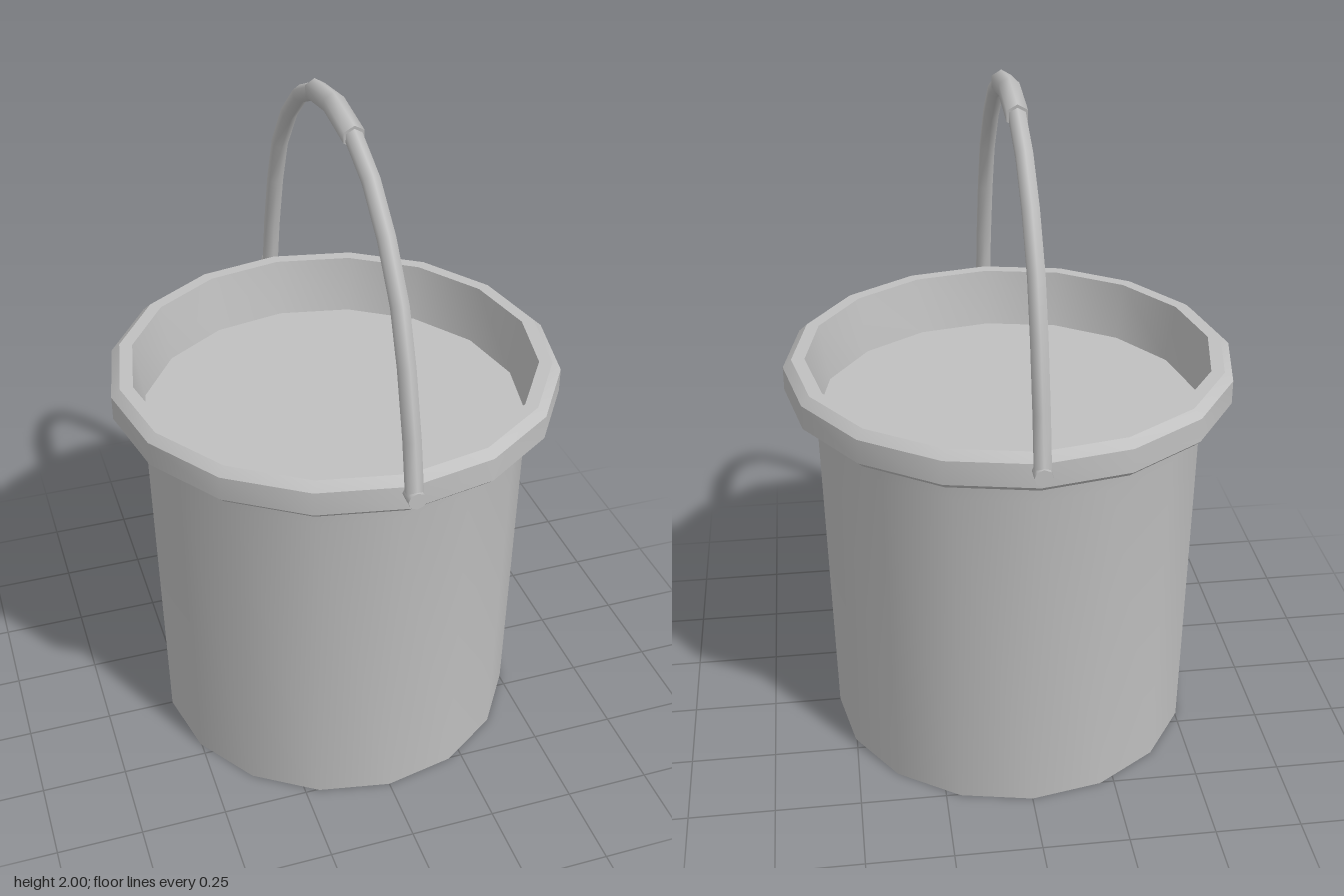
import * as THREE from 'three';
import { toCreasedNormals } from 'three/addons/utils/BufferGeometryUtils.js';

const SIDES = 16;

// Lathe from [radius, height] pairs, keeping sharp edges sharp
function turned(profile) {
  const points = profile.map(([r, y]) => new THREE.Vector2(r, y));
  return toCreasedNormals(new THREE.LatheGeometry(points, SIDES), 0.6);
}

// Hexagonal rod swept along [z, y] points, with a corner facing outwards
function rod(path, radius) {
  const n = 6, pos = [], index = [];
  path.forEach(([z, y], i) => {
    const [za, ya] = path[Math.max(i - 1, 0)];
    const [zb, yb] = path[Math.min(i + 1, path.length - 1)];
    const len = Math.hypot(zb - za, yb - ya);
    const nz = -(yb - ya) / len, ny = (zb - za) / len;
    for (let k = 0; k < n; k++) {
      const a = (k / n) * Math.PI * 2;
      const c = Math.cos(a) * radius, s = Math.sin(a) * radius;
      pos.push(s, y + ny * c, z + nz * c);
    }
  });
  for (let i = 0; i < path.length - 1; i++) {
    for (let k = 0; k < n; k++) {
      const a = i * n + k, b = i * n + (k + 1) % n;
      index.push(a, a + n, b, b, a + n, b + n);
    }
  }
  // End caps
  const last = (path.length - 1) * n;
  for (let k = 1; k < n - 1; k++) {
    index.push(0, k, k + 1, last, last + k + 1, last + k);
  }
  const g = new THREE.BufferGeometry();
  g.setAttribute('position', new THREE.Float32BufferAttribute(pos, 3));
  g.setIndex(index);
  return toCreasedNormals(g, 1.2);
}

export function createModel() {
  const model = new THREE.Group();
  model.name = 'bucket';
  const grey = new THREE.MeshStandardMaterial({ color: 0xc0c0c0, side: THREE.DoubleSide });
  grey.name = 'grey';

  function add(name, geometry, parent = model) {
    const mesh = new THREE.Mesh(geometry, grey);
    mesh.name = name;
    parent.add(mesh);
    return mesh;
  }

  // Tapered wall, flaring slightly under the rim
  add('wall', turned([[0.545, 0], [0.563, 1.02], [0.576, 1.1]]));

  // Thick bevelled rim, running down inside the bucket
  add('rim', turned([
    [0.57, 1.098], [0.632, 1.098], [0.65, 1.115], [0.65, 1.185],
    [0.625, 1.208], [0.587, 1.208], [0.56, 1.035],
  ]));

  // Underside and the surface inside
  add('base', new THREE.CircleGeometry(0.545, SIDES).rotateX(Math.PI / 2));
  add('innerSurface', new THREE.CircleGeometry(0.56, SIDES).rotateX(-Math.PI / 2).translate(0, 1.035, 0));

  // Arched handle with a thicker grip at the top
  const handle = new THREE.Group();
  handle.name = 'handle';
  model.add(handle);
  const half = [
    [0.667, 1.17], [0.637, 1.32], [0.585, 1.5], [0.525, 1.645],
    [0.42, 1.78], [0.3, 1.882], [0.165, 1.942],
  ];
  const mirrored = half.map(([z, y]) => [-z, y]);
  add('bail', rod([...mirrored, [0, 1.966], ...half.slice().reverse()], 0.025), handle);
  add('grip', rod([[-0.165, 1.944], [0, 1.968], [0.165, 1.944]], 0.032), handle);

  // Pivot pins, front and back
  for (const side of [1, -1]) {
    const pin = add(side > 0 ? 'frontPin' : 'backPin',
      toCreasedNormals(new THREE.CylinderGeometry(0.025, 0.025, 0.055, 8).rotateX(Math.PI / 2), 0.9), handle);
    pin.position.set(0, 1.167, side * 0.664);
  }

  return model;
}
